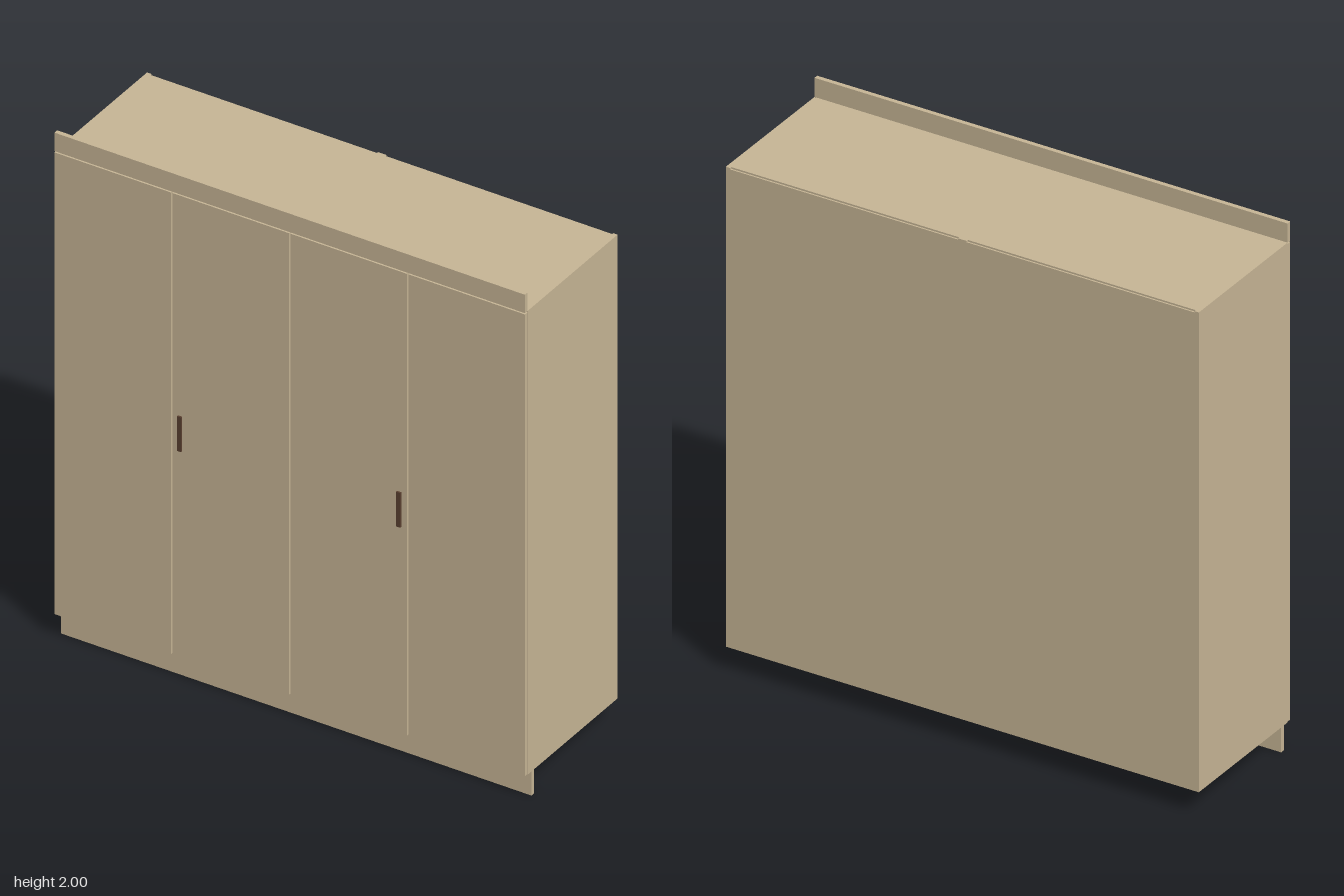
import * as THREE from 'three';

const wood = new THREE.MeshStandardMaterial({ color: 0xc8b696 });
const brown = new THREE.MeshStandardMaterial({ color: 0x5a4030 });

// Box given by its limits on each axis
function panel(parent, name, [x0, x1], [y0, y1], [z0, z1], material = wood) {
  const mesh = new THREE.Mesh(new THREE.BoxGeometry(x1 - x0, y1 - y0, z1 - z0), material);
  mesh.position.set((x0 + x1) / 2, (y0 + y1) / 2, (z0 + z1) / 2);
  mesh.name = name;
  parent.add(mesh);
}

export function createModel() {
  const wardrobe = new THREE.Group();
  wardrobe.name = 'wardrobe';

  const W = 0.927, T = 0.017;              // half width, board thickness
  const bottom = 0.095, top = 1.927;       // carcass height
  const back = -0.29, front = 0.265, face = 0.283;

  // Two cabinets standing side by side
  for (const side of [-1, 1]) {
    const cabinet = new THREE.Group();
    cabinet.name = side < 0 ? 'rightCabinet' : 'leftCabinet';
    wardrobe.add(cabinet);
    const x0 = side < 0 ? -W : 0, x1 = x0 + W;
    const inner = [x0 + T, x1 - T];

    panel(cabinet, 'sidePanel', [x0, x0 + T], [bottom, top], [back, front]);
    panel(cabinet, 'sidePanel', [x1 - T, x1], [bottom, top], [back, front]);
    panel(cabinet, 'bottomPanel', inner, [bottom, bottom + T], [back + 0.008, front]);
    panel(cabinet, 'topPanel', inner, [top - T, top], [back + 0.008, front]);
    panel(cabinet, 'backPanel', inner, [bottom, top - 0.005], [back, back + 0.006]);

    // Inside: shelves on the left, a hanging shelf on the right
    const shelves = side > 0 ? [0.27, 0.45, 0.64, 0.94, 1.22, 1.5, 1.78] : [1.6];
    for (const y of shelves) panel(cabinet, 'shelf', inner, [y - T / 2, y + T / 2], [back + 0.008, 0.24]);

    // Pair of doors with narrow gaps
    const mid = side * 0.465, gap = 0.003;
    panel(cabinet, 'door', [x0 + (side > 0 ? gap : 0), mid - gap], [bottom + 0.003, top - 0.005], [front + 0.001, face]);
    panel(cabinet, 'door', [mid + gap, x1 - (side < 0 ? gap : 0)], [bottom + 0.003, top - 0.005], [front + 0.001, face]);

    // Handle on the inner door
    const hx = side * 0.432;
    panel(cabinet, 'handle', [hx - 0.008, hx + 0.008], [0.915, 1.052], [face, 0.29], brown);
  }

  // Strip above the doors and recessed plinth below
  panel(wardrobe, 'topFascia', [-W, W], [top, 2], [face - T, face]);
  panel(wardrobe, 'plinth', [-W, W], [0, bottom], [0.226, 0.243]);

  return wardrobe;
}
